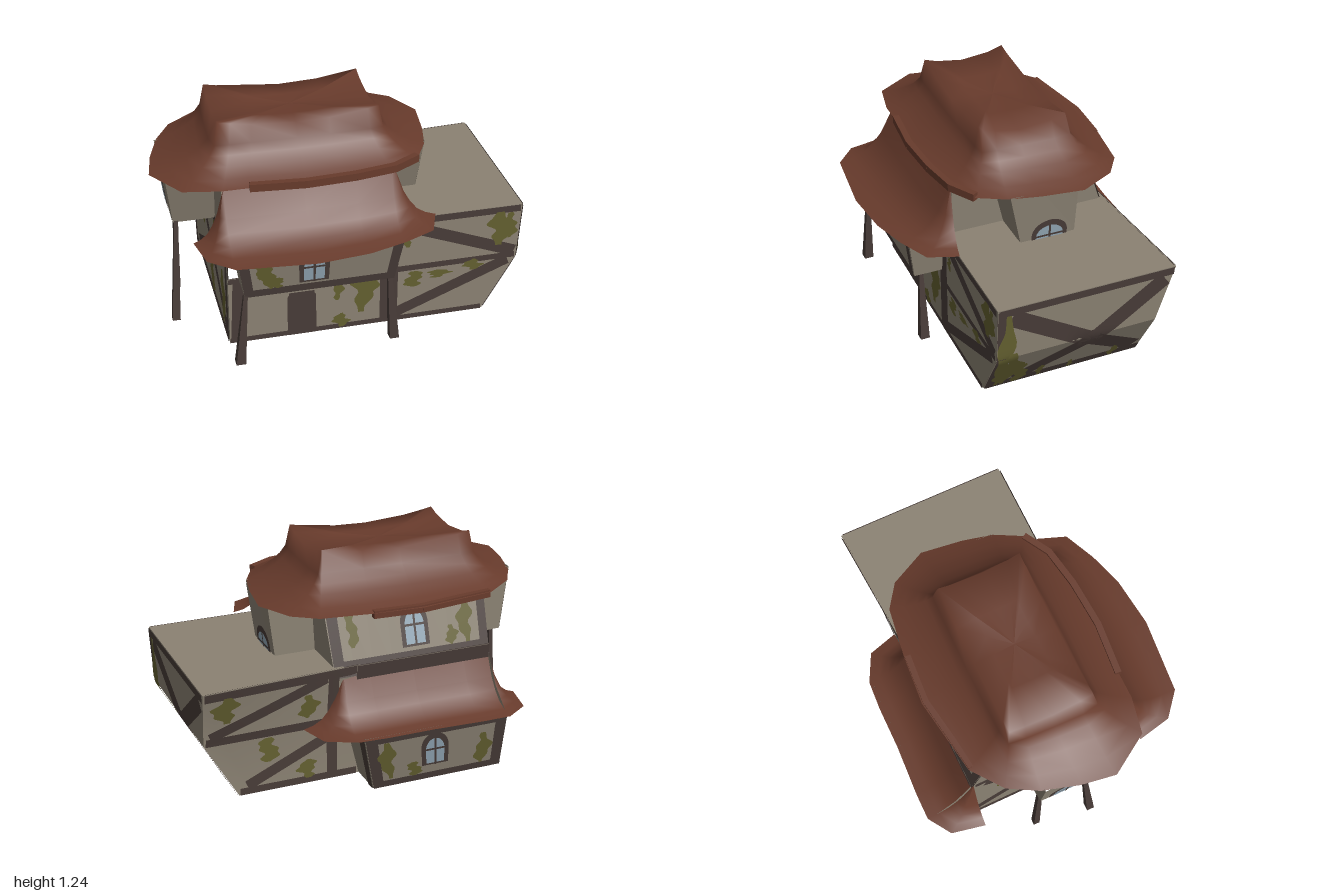
import * as THREE from 'three';
import { mergeGeometries, toCreasedNormals } from 'three/addons/utils/BufferGeometryUtils.js';

const mat = (name, color) => {
  const m = new THREE.MeshStandardMaterial({ color, side: THREE.DoubleSide });
  m.name = name;
  return m;
};
const V = (x, y, z) => new THREE.Vector3(x, y, z);
const clamp = THREE.MathUtils.clamp, lerp = THREE.MathUtils.lerp;

// Surface through rows of points
function loft(rows, closed = false) {
  const n = rows[0].length, pos = rows.flat().flatMap(p => [p.x, p.y, p.z]), idx = [];
  for (let r = 0; r < rows.length - 1; r++)
    for (let i = 0; i < (closed ? n : n - 1); i++) {
      const a = r * n + i, b = r * n + (i + 1) % n;
      idx.push(a, b, b + n, a, b + n, a + n);
    }
  const g = new THREE.BufferGeometry();
  g.setAttribute('position', new THREE.Float32BufferAttribute(pos, 3));
  g.setIndex(idx);
  g.computeVertexNormals();
  return g;
}

export function createModel() {
  const root = new THREE.Group();
  const M = {
    plaster: mat('plaster', 0x8b8273), timber: mat('timber', 0x483c38), moss: mat('moss', 0x646030),
    glass: mat('glass', 0x92a7b5), roof: mat('roof', 0x683b2c),
  };
  const add = (name, g, m) => {
    const mesh = new THREE.Mesh(g, m);
    mesh.name = name;
    root.add(mesh);
  };

  // A painted strip in wall coordinates, laid just off both faces of the wall
  function strip(f, [s0, t0, s1, t1], halfWidth, off, n = 12) {
    const len = Math.hypot(s1 - s0, t1 - t0), ps = -(t1 - t0) / len, pt = (s1 - s0) / len, e = 0.002;
    const at = (s, t, d) => {
      const p = f(s, t);
      const nrm = f(s + e, t).sub(f(s - e, t)).cross(f(s, t + e).sub(f(s, t - e))).normalize();
      return p.addScaledVector(nrm, d);
    };
    return [off, -off].map(d => loft(Array.from({ length: n + 1 }, (_, i) => {
      const k = i / n, s = lerp(s0, s1, k), t = lerp(t0, t1, k);
      return [-1, 0, 1].map(q => at(s + ps * halfWidth(k, q) * q, t + pt * halfWidth(k, q) * q, d));
    })));
  }
  const arch = w => k => k < 0.55 ? w : w * Math.sqrt(Math.max(0.01, 1 - ((k - 0.55) / 0.45) ** 2));
  const ragged = (w, j) => (k, q) => w / 2 * Math.sqrt(Math.sin(Math.PI * clamp(k, 0.03, 0.97)))
    * (0.75 + 0.3 * Math.sin(k * 7 + j * 2 + q * 2.1) + 0.2 * Math.sin(k * 17 + j + q * 3));

  // Wall: f(s, t) gives the surface, rows are [t, sMin, sMax]
  function wall(name, f, rows, { beams = [], moss = [], windows = [], door } = {}) {
    add(name, toCreasedNormals(loft(rows.map(([t, a, b]) =>
      Array.from({ length: 9 }, (_, i) => f(lerp(a, b, i / 8), t)))), 0.4), M.plaster);
    const parts = { timber: [], moss: [], glass: [] };
    for (const [a, b, c, d, w] of beams) parts.timber.push(...strip(f, [a, b, c, d], () => w / 2, 0.005));
    moss.forEach(([s, t0, t1, w], j) => parts.moss.push(...strip(f, [s, t0, s, t1], ragged(w, j), 0.007, 16)));
    for (const [s, t, w, h] of windows) {
      parts.timber.push(...strip(f, [s, t, s, t + h], arch(w / 2), 0.006, 20));
      parts.glass.push(...strip(f, [s, t + 0.012, s, t + h - 0.035], arch(w / 2 - 0.024), 0.008, 20));
      parts.timber.push(...strip(f, [s, t, s, t + h - 0.02], () => 0.006, 0.0095));
      parts.timber.push(...strip(f, [s - w * 0.4, t + h * 0.5, s + w * 0.4, t + h * 0.5], () => 0.006, 0.0095));
    }
    if (door) parts.timber.push(...strip(f, [door[0], door[1], door[0], door[2]],
      k => door[3] / 2 * (k > 0.9 ? 0.88 : 1), 0.006, 20));
    for (const key in parts) if (parts[key].length) add(name + ' ' + key, mergeGeometries(parts[key]), M[key]);
  }
  const quad = (name, a, b, c, d) => add(name, loft([[a, b], [d, c]]), M.plaster);

  // Ground floor and side wing
  const k = y => Math.max(0, (y - 0.33) / 0.33);
  const zBack = (x, y) => -0.47 - k(y) * (0.04 + 0.05 * (x - 0.25) / 0.74);
  const xEnd = y => y < 0.33 ? 0.78 + 0.19 * y / 0.33 : 0.97 + 0.02 * k(y);
  const wingRows = a => [[0.01, a, xEnd(0.01)], [0.33, a, 0.97], [0.66, a, 0.99]];
  wall('lower front wall', (x, y) => V(x, y, 0.435), [[0.01, -0.65, 0.24], [0.42, -0.65, 0.24]], {
    beams: [[-0.65, 0.025, 0.24, 0.025, 0.03], [-0.65, 0.405, 0.24, 0.405, 0.03],
      [-0.605, 0.01, -0.585, 0.42, 0.08], [0.215, 0.01, 0.215, 0.42, 0.05]],
    moss: [[0.09, 0.1, 0.4, 0.15], [0.14, 0.22, 0.39, 0.1], [-0.11, 0.3, 0.4, 0.09], [-0.05, 0.2, 0.34, 0.07], [-0.03, 0.02, 0.11, 0.1]],
    door: [-0.25, 0.01, 0.285, 0.16],
  });
  wall('wing front wall', (x, y) => V(x, y, 0.436), wingRows(0.2), {
    beams: [[0.255, 0.01, 0.255, 0.66, 0.07], [0.29, 0.63, 0.955, 0.37, 0.07], [0.25, 0.345, 0.96, 0.345, 0.035],
      [0.27, 0.06, 0.92, 0.32, 0.065], [0.22, 0.025, 0.78, 0.025, 0.03], [0.22, 0.64, 0.98, 0.64, 0.04]],
    moss: [[0.87, 0.42, 0.63, 0.17], [0.92, 0.46, 0.62, 0.1], [0.38, 0.22, 0.32, 0.13], [0.52, 0.26, 0.31, 0.15], [0.72, 0.28, 0.35, 0.12], [0.34, 0.48, 0.57, 0.06]],
  });
  wall('wing end wall', (z, y) => V(xEnd(y), y, z),
    [[0.01, 0.435, -0.47], [0.33, 0.435, -0.47], [0.66, 0.435, -0.56]], {
      beams: [[0.43, 0.637, -0.55, 0.637, 0.045], [0.43, 0.04, -0.465, 0.04, 0.06], [0.36, 0.6, -0.1, 0.31, 0.1],
        [-0.1, 0.31, -0.42, 0.08, 0.1], [-0.5, 0.6, -0.1, 0.31, 0.1], [-0.1, 0.31, 0.28, 0.06, 0.1],
        [-0.03, 0.31, -0.17, 0.31, 0.13], [0.41, 0.02, 0.41, 0.65, 0.05]],
      moss: [[0.38, 0.03, 0.62, 0.1], [0.34, 0.03, 0.36, 0.15], [0.26, 0.02, 0.22, 0.12], [0.13, 0.02, 0.13, 0.05], [-0.3, 0.02, 0.13, 0.06], [-0.05, 0.02, 0.1, 0.04]],
    });
  wall('wing back wall', (x, y) => V(x, y, zBack(x, y)), wingRows(0.1), {
    beams: [[0.12, 0.35, 0.96, 0.35, 0.05], [0.3, 0.62, 0.94, 0.38, 0.06], [0.2, 0.3, 0.74, 0.06, 0.06], [0.12, 0.635, 0.98, 0.635, 0.05],
      [0.12, 0.03, 0.78, 0.03, 0.04], [0.26, 0.02, 0.26, 0.64, 0.06]],
    moss: [[0.86, 0.46, 0.62, 0.16], [0.4, 0.4, 0.54, 0.12], [0.62, 0.18, 0.32, 0.14], [0.4, 0.04, 0.15, 0.12]],
  });
  wall('main back wall', (x, y) => V(x, y, -0.47 - 0.04 * k(y)), [[0.36, -0.65, 0.13], [0.66, -0.65, 0.13]],
    { beams: [[-0.65, 0.62, 0.13, 0.62, 0.08]] });
  wall('right side wall', (z, y) => V(-0.65, y, z),
    [[0.01, 0.435, -0.67], [0.335, 0.435, -0.735], [0.45, 0.435, -0.6], [0.62, 0.435, -0.5]], {
      beams: [[0.43, 0.035, -0.67, 0.035, 0.05], [0.43, 0.595, -0.48, 0.595, 0.05], [0.4, 0.02, 0.4, 0.61, 0.06],
        [-0.64, 0.01, -0.7, 0.335, 0.06], [0.38, 0.08, -0.42, 0.56, 0.07], [-0.55, 0.08, 0.38, 0.56, 0.07]],
      moss: [[0.3, 0.05, 0.4, 0.14], [-0.05, 0.04, 0.25, 0.14], [-0.3, 0.35, 0.56, 0.12], [0.1, 0.42, 0.59, 0.12]],
    });
  quad('wing deck', V(0.2, 0.66, 0.436), V(0.99, 0.66, 0.436), V(0.99, 0.66, -0.56), V(0.2, 0.66, -0.508));

  // Front bay on posts
  const bx = (x, y) => x + (x + 0.19) * 0.1 * (y - 0.41) / 0.26;
  const bz = y => 0.6 + 0.04 * (y - 0.41) / 0.26;
  wall('front bay wall', (x, y) => V(bx(x, y), y, bz(y)), [[0.41, -0.59, 0.22], [0.675, -0.59, 0.22]], {
    beams: [[-0.59, 0.43, 0.22, 0.43, 0.045], [-0.565, 0.41, -0.565, 0.675, 0.05], [0.195, 0.41, 0.195, 0.675, 0.05]],
    moss: [[-0.49, 0.52, 0.67, 0.08], [-0.45, 0.45, 0.6, 0.1], [-0.41, 0.45, 0.52, 0.08]],
    windows: [[-0.22, 0.465, 0.155, 0.2]],
  });
  for (const x of [-0.59, 0.22])
    quad('front bay side', V(x, 0.41, 0.435), V(x, 0.41, 0.6), V(bx(x, 0.675), 0.675, 0.64), V(bx(x, 0.675), 0.675, 0.435));
  quad('front bay floor', V(-0.59, 0.41, 0.435), V(0.22, 0.41, 0.435), V(0.22, 0.41, 0.6), V(-0.59, 0.41, 0.6));

  // Back annex, flush with the right side wall
  const ax = (x, y) => x + (x + 0.65) * 0.11 * y / 0.34;
  wall('annex wall', (x, y) => V(ax(x, y), y, -0.67 - 0.068 * y / 0.34), [[0.01, -0.65, 0.1], [0.345, -0.65, 0.1]], {
    beams: [[-0.65, 0.03, 0.1, 0.03, 0.04], [-0.65, 0.32, 0.1, 0.32, 0.04], [-0.62, 0.01, -0.62, 0.34, 0.06], [0.07, 0.01, 0.07, 0.34, 0.06]],
    moss: [[0.0, 0.06, 0.3, 0.1], [-0.53, 0.05, 0.25, 0.1], [-0.14, 0.05, 0.14, 0.1]],
    windows: [[-0.26, 0.1, 0.15, 0.21]],
  });
  wall('annex side', (z, y) => V(ax(0.1, y), y, z - 0.068 * y / 0.34 * clamp((-0.47 - z) / 0.2, 0, 1)),
    [[0.01, -0.45, -0.67], [0.345, -0.45, -0.67]], { beams: [[-0.64, 0.01, -0.64, 0.345, 0.06]] });

  // Upper storey: a hall leaning in along its sides, with a flaring bay at each end
  const top = [[-0.925, -0.2], [-0.66, -0.22], [-0.66, -0.38], [0.27, -0.38], [0.27, -0.22], [0.52, -0.22],
    [0.505, 0.16], [0.27, 0.17], [0.27, 0.39], [-0.66, 0.39], [-0.66, 0.17], [-0.925, 0.17]];
  const low = [[-0.88, -0.2], [-0.65, -0.22], [-0.65, -0.5], [0.25, -0.5], [0.25, -0.22], [0.475, -0.22],
    [0.475, 0.08], [0.25, 0.08], [0.25, 0.42], [-0.65, 0.42], [-0.65, 0.08], [-0.88, 0.08]];
  add('upper storey', toCreasedNormals(loft([low.map(p => V(p[0], 0.6, p[1])), top.map(p => V(p[0], 0.965, p[1]))], true), 0.25), M.plaster);
  const u = y => (y - 0.6) / 0.365;
  wall('upper back wall', (x, y) => V(x, y, -0.502 + 0.12 * u(y)), [[0.6, -0.65, 0.25], [0.96, -0.66, 0.265]], {
    beams: [[-0.64, 0.64, 0.25, 0.64, 0.08], [-0.63, 0.6, -0.635, 0.96, 0.05], [0.22, 0.6, 0.235, 0.96, 0.06], [-0.64, 0.945, 0.25, 0.945, 0.03]],
    moss: [[-0.53, 0.68, 0.9, 0.1], [-0.44, 0.68, 0.78, 0.08], [0.13, 0.74, 0.93, 0.08]],
    windows: [[-0.23, 0.7, 0.16, 0.22]],
  });
  wall('left gable', (z, y) => V(0.477 + 0.035 * u(y), y, z), [[0.6, -0.2, 0.08], [0.95, -0.2, 0.14]],
    { windows: [[-0.07, 0.58, 0.205, 0.195]] });
  wall('right gable', (z, y) => V(-0.882 - 0.045 * u(y), y, z), [[0.6, -0.2, 0.08], [0.95, -0.2, 0.16]],
    { windows: [[-0.06, 0.66, 0.2, 0.2]] });

  // Main roof: swept from an irregular eave up to a saddle-topped ridge block
  const eave = [[-1, 0.17], [-0.97, -0.02], [-0.91, -0.22], [-0.82, -0.38], [-0.65, -0.51], [-0.22, -0.58], [0.05, -0.56], [0.34, -0.52],
    [0.47, -0.43], [0.57, -0.23], [0.54, 0], [0.5, 0.17], [0.42, 0.32], [0.26, 0.41], [0, 0.45], [-0.22, 0.46], [-0.52, 0.43], [-0.66, 0.43], [-0.86, 0.39]];
  const ring = (t, y) => eave.map(([x, z]) => {
    const dx = clamp((x + 0.2) * 0.8, -0.43, 0.43), dz = clamp((z + 0.035) * 0.8, -0.235, 0.235);
    const lift = 0.045 * (dx / 0.43) ** 2 * (dz / 0.235) ** 2;
    return V(lerp(x, dx - 0.2, t), y ?? 1.19 + lift, lerp(z, dz - 0.035, t));
  });
  const cap = s => ring(1).map(p => V(lerp(-0.2, p.x, s), lerp(1.185, p.y, s * s), lerp(-0.035, p.z, s)));
  add('main roof', loft([ring(0, 0.96), ring(0.28, 0.985), ring(0.55, 1.03), ring(0.74, 1.07),
    ring(0.88, 1.115), ring(1), cap(0.5), cap(0.001)], true), M.roof);

  // Lower skirt roofs
  const skirt = (name, edge, x0, x1, zTop, y0, y1) => add(name, loft(
    [[0, 0], [0.25, 0.05], [0.45, 0.14], [0.62, 0.3], [0.78, 0.52], [1, 1]].map(([t, h]) => edge.map(([x, z]) =>
      V(lerp(x, clamp(x, x0, x1), t), lerp(y0, y1, h), lerp(z, zTop, t))))), M.roof);
  skirt('front skirt roof', [[-0.82, 0.43], [-0.78, 0.62], [-0.65, 0.73], [-0.23, 0.77], [0.05, 0.74], [0.25, 0.68], [0.43, 0.6], [0.49, 0.44]],
    -0.65, 0.27, 0.4, 0.67, 0.95);
  skirt('back skirt roof', [[-0.82, -0.5], [-0.78, -0.69], [-0.65, -0.775], [-0.5, -0.775], [-0.2, -0.76], [0.05, -0.76], [0.22, -0.75], [0.38, -0.67], [0.43, -0.5]],
    -0.65, 0.2, -0.49, 0.34, 0.61);

  // Eave boards
  const board = (name, y, pts) => pts.slice(1).forEach((q, i) => {
    const a = V(pts[i][0], y, pts[i][1]), b = V(q[0], y, q[1]);
    const g = new THREE.BoxGeometry(0.035, 0.042, a.distanceTo(b) + 0.008);
    g.lookAt(b.clone().sub(a)).translate(...a.add(b).multiplyScalar(0.5).toArray());
    add(name, g, M.roof);
  });
  board('front eave board', 0.963, [[-0.51, 0.425], [-0.22, 0.452], [0.05, 0.437], [0.27, 0.4], [0.41, 0.32]]);
  board('back eave board', 0.95, [[-0.64, -0.49], [-0.22, -0.555], [0.05, -0.54]]);

  // Tapered posts: foot x, z, head x, y, z, foot half-width
  for (const [x, z, hx, hy, hz, w] of [[-0.625, 0.605, -0.585, 0.42, 0.595, 0.026], [0.235, 0.565, 0.205, 0.42, 0.56, 0.026],
    [-0.9, 0.12, -0.862, 0.62, 0.07, 0.022], [-0.848, -0.2, -0.832, 0.62, -0.18, 0.018]]) {
    const c = (px, py, pz, r) => [[-r, -r], [r, -r], [r, r], [-r, r]].map(([i, j]) => V(px + i, py, pz + j));
    add('post', toCreasedNormals(loft([c(x, 0, z, 0.001), c(x, 0, z, w), c(hx, hy, hz, 0.011)], true), 0.3), M.timber);
  }
  return root;
}
